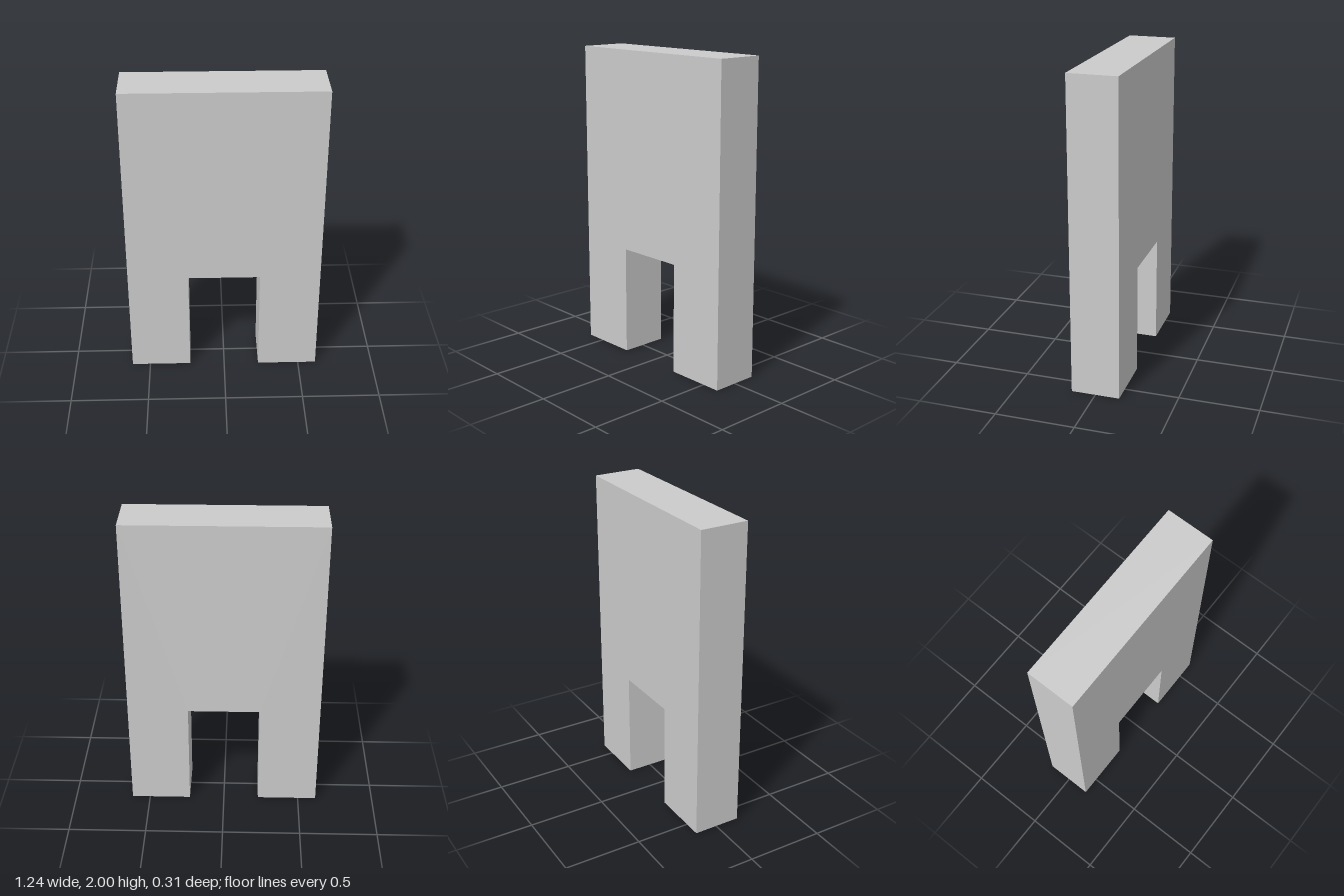
import * as THREE from 'three';

const HALF_WIDTH = 0.618;
const HALF_GAP = 0.23;
const GAP_TOP = 0.71;
const HEIGHT = 2;
const DEPTH = 0.308;

export function createModel() {
  const model = new THREE.Group();
  model.name = 'notchedSlab';

  // Slab outline: two legs with a rectangular opening between them;
  // the right leg is a touch shorter than the left
  const outline = new THREE.Shape([
    [-HALF_WIDTH, 0.007], [-HALF_GAP, 0.007],
    [-HALF_GAP, GAP_TOP], [HALF_GAP, GAP_TOP],
    [HALF_GAP, 0], [HALF_WIDTH, 0],
    [HALF_WIDTH, HEIGHT], [-HALF_WIDTH, HEIGHT],
  ].map(([x, y]) => new THREE.Vector2(x, y)));

  const geometry = new THREE.ExtrudeGeometry(outline, { depth: DEPTH, bevelEnabled: false });
  geometry.translate(0, 0, -DEPTH / 2);

  const material = new THREE.MeshStandardMaterial({ color: 0xcccccc, flatShading: true });
  const slab = new THREE.Mesh(geometry, material);
  slab.name = 'slabWithLegs';
  model.add(slab);

  return model;
}
